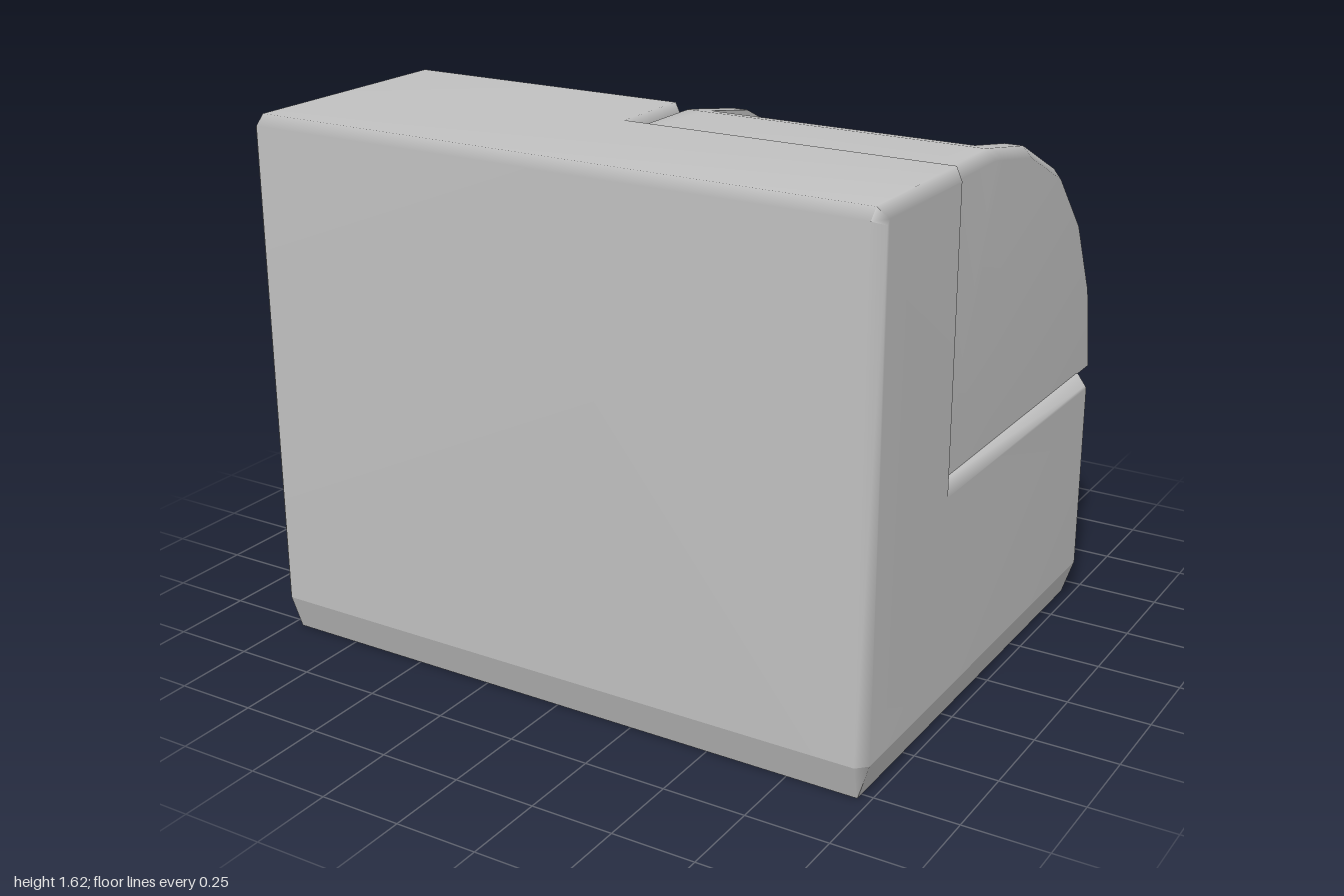
import * as THREE from 'three';

const V = (x, y, z) => new THREE.Vector3(x, y, z);
const BEVEL = 0.03;

// Area-weighted smooth normals that keep edges sharper than the crease angle
function softEdges(source, crease = 0.9) {
  const geo = source.index ? source.toNonIndexed() : source;
  const pos = geo.attributes.position;
  const at = i => new THREE.Vector3().fromBufferAttribute(pos, i);
  const key = v => [v.x, v.y, v.z].map(n => Math.round(n * 1e4)).join();
  const faces = [], around = {};
  for (let i = 0; i < pos.count; i += 3) {
    const a = at(i), b = at(i + 1), c = at(i + 2);
    const area = b.clone().sub(a).cross(c.clone().sub(a));
    const face = { area, dir: area.clone().normalize() };
    faces.push(face);
    [a, b, c].forEach(v => (around[key(v)] ??= []).push(face));
  }
  const normals = [];
  for (let i = 0; i < pos.count; i++) {
    const own = faces[Math.floor(i / 3)];
    const n = V(0, 0, 0);
    for (const f of around[key(at(i))]) {
      if (f.dir.dot(own.dir) > Math.cos(crease)) n.add(f.area);
    }
    normals.push(...n.normalize().toArray());
  }
  geo.setAttribute('normal', new THREE.Float32BufferAttribute(normals, 3));
  return geo;
}

// Collects quads and triangles into one geometry
function faceBuilder() {
  const data = [];
  const tri = (a, b, c) => [a, b, c].forEach(v => data.push(v.x, v.y, v.z));
  const quad = (a, b, c, d) => { tri(a, b, c); tri(a, c, d); };
  const build = () => {
    const geo = new THREE.BufferGeometry();
    geo.setAttribute('position', new THREE.Float32BufferAttribute(data, 3));
    return softEdges(geo);
  };
  return { tri, quad, build };
}

// Side profile of [z, y] points, extruded along x with chamfered ends
function extrudeAlongX(profile, x0, x1) {
  const shape = new THREE.Shape(profile.map(([z, y]) => new THREE.Vector2(-z, y)));
  return new THREE.ExtrudeGeometry(shape, {
    depth: x1 - x0 - 2 * BEVEL, bevelEnabled: true, bevelSegments: 1,
    bevelSize: BEVEL, bevelThickness: BEVEL, bevelOffset: -BEVEL,
  }).rotateY(Math.PI / 2).translate(x0 + BEVEL, 0, 0);
}

// Stepped main body: tall front, low back
function bodyGeometry() {
  const geo = extrudeAlongX([
    [0.81, 0.11], [0.81, 1.59], [0.78, 1.62], [0.32, 1.62], [0.32, 0.745],
    [-0.68, 0.745], [-0.71, 0.715], [-0.71, 0.11],
  ], -1, 1);
  // the lower edge stays square where it meets the plinth
  const pos = geo.attributes.position;
  for (let i = 0; i < pos.count; i++) if (pos.getY(i) < 0.16) pos.setY(i, 0.11);
  return softEdges(geo);
}

// Plinth tapering from the chamfered body outline to a plain rectangle
function plinthGeometry() {
  const { quad, build } = faceBuilder();
  const top = [], bottom = [];
  for (const [sx, sz] of [[-1, 1], [1, 1], [1, -1], [-1, -1]]) {
    const z = sz > 0 ? 0.81 : -0.71;
    const pair = [V(sx, 0.11, z - sz * BEVEL), V(sx * (1 - BEVEL), 0.11, z)];
    top.push(...(sx * sz < 0 ? pair : pair.reverse()));
    const foot = V(sx * 0.965, 0, z - sz * 0.035);
    bottom.push(foot, foot);
  }
  for (let i = 0; i < 8; i++) {
    const j = (i + 1) % 8;
    quad(bottom[j], top[j], top[i], bottom[i]);
  }
  quad(bottom[0], bottom[6], bottom[4], bottom[2]);
  return build();
}

// Curved hollow hood with a recessed window
function hoodGeometry() {
  const { tri, quad, build } = faceBuilder();
  const arc = [
    [0.32, 1.605], [0.05, 1.605], [0, 1.597], [-0.21, 1.56], [-0.46, 1.44],
    [-0.64, 1.25], [-0.745, 1.04], [-0.76, 1.01], [-0.81, 0.74],
  ];
  const last = arc.length - 1, winTop = 2, winEnd = 6;
  const left = -0.03, right = 0.965, w0 = 0.05, w1 = 0.88, depth = 0.035;

  // point on the arc at station i, sunk inwards by d
  const at = (i, x, d) => {
    const [za, ya] = arc[Math.max(i - 1, 0)], [zb, yb] = arc[Math.min(i + 1, last)];
    const len = Math.hypot(zb - za, yb - ya);
    const y = i === last ? 0.74 : arc[i][1] + ((zb - za) / len) * d;
    const z = i === 0 ? 0.32 : arc[i][0] - ((yb - ya) / len) * d;
    return V(x, y, z);
  };
  const strip = (xa, da, xb, db, from = 0, to = last) => {
    for (let i = from; i < to; i++) {
      quad(at(i, xa, da), at(i, xb, db), at(i + 1, xb, db), at(i + 1, xa, da));
    }
  };

  // chamfers and side rails
  strip(left, BEVEL, left + BEVEL, 0);
  strip(left + BEVEL, 0, w0, 0);
  strip(w1, 0, right - BEVEL, 0);
  strip(right - BEVEL, 0, right, BEVEL);
  // panels above and below the window
  strip(w0, 0, w1, 0, 0, winTop);
  strip(w0, 0, w1, 0, winEnd, last);
  // window panel and its recess walls
  strip(w0, depth, w1, depth, winTop, winEnd);
  strip(w0, 0, w0, depth, winTop, winEnd);
  strip(w1, depth, w1, 0, winTop, winEnd);
  quad(at(winTop, w0, 0), at(winTop, w1, 0), at(winTop, w1, depth), at(winTop, w0, depth));
  quad(at(winEnd, w0, depth), at(winEnd, w1, depth), at(winEnd, w1, 0), at(winEnd, w0, 0));
  // flat cheeks
  for (let i = 0; i < last; i++) {
    tri(V(right, 0.74, 0.32), at(i + 1, right, BEVEL), at(i, right, BEVEL));
    tri(V(left, 0.74, 0.32), at(i, left, BEVEL), at(i + 1, left, BEVEL));
  }
  // underside rim and inner face of the lip
  quad(at(last, left + BEVEL, 0), at(last, right - BEVEL, 0),
    at(last, right - BEVEL, BEVEL), at(last, left + BEVEL, BEVEL));
  strip(right - BEVEL, BEVEL, left + BEVEL, BEVEL, winEnd, last);
  return build();
}

export function createModel() {
  const casing = new THREE.MeshStandardMaterial({ color: 0xc0c0c0, side: THREE.DoubleSide });
  casing.name = 'casing grey';
  const model = new THREE.Group();
  model.name = 'model';
  const add = (name, geometry) => {
    const mesh = new THREE.Mesh(geometry, casing);
    mesh.name = name;
    model.add(mesh);
  };

  add('body', bodyGeometry());
  add('plinth', plinthGeometry());
  // sloped panel beside the hood, sunk into the body
  add('slopedPanel', softEdges(extrudeAlongX([
    [0.5, 0.5], [0.5, 1.62], [0.045, 1.62], [-0.28, 0.745], [-0.302, 0.685], [-0.302, 0.5],
  ], -1, -0.015)));
  add('hood', hoodGeometry());
  return model;
}
